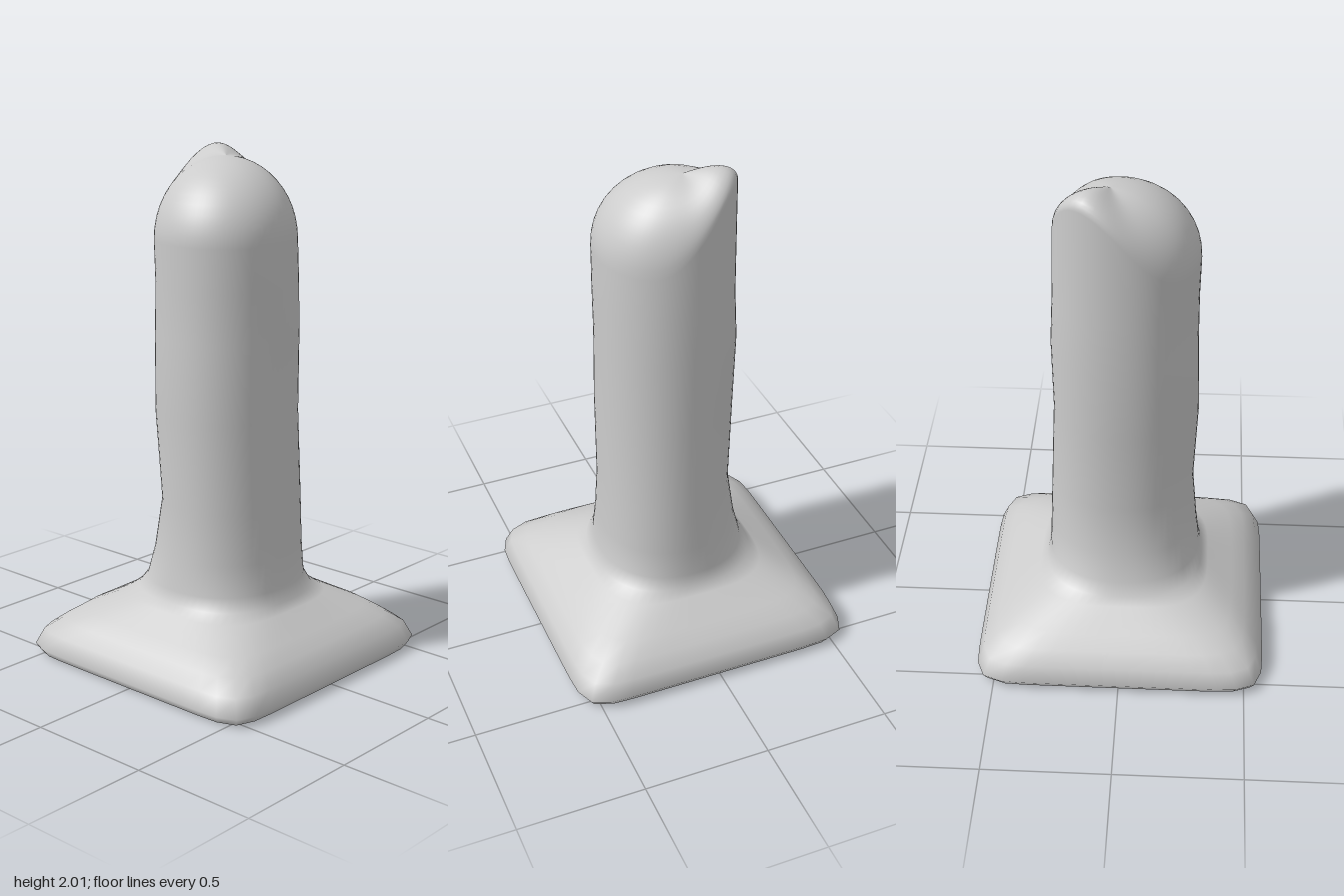
import * as THREE from 'three';

const SEG = 64;

// One closed outline point: ellipse at n = 2, rounded square for larger n
function outline(theta, cx, cz, rx, rz, n) {
  const c = Math.cos(theta), s = Math.sin(theta);
  const r = 1 / Math.pow(Math.abs(c) ** n + Math.abs(s) ** n, 1 / n);
  return [cx + rx * r * c, cz + rz * r * s];
}

// Skin a list of rings, each a function theta -> [x, y, z]
function loft(rings) {
  const pos = [], index = [];
  rings.forEach((ring, i) => {
    for (let j = 0; j < SEG; j++) {
      pos.push(...ring((j / SEG) * Math.PI * 2));
      if (i === rings.length - 1) continue;
      const a = i * SEG + j, b = i * SEG + (j + 1) % SEG;
      index.push(a, a + SEG, b, b, a + SEG, b + SEG);
    }
  });
  const geo = new THREE.BufferGeometry();
  geo.setAttribute('position', new THREE.Float32BufferAttribute(pos, 3));
  geo.setIndex(index);
  geo.computeVertexNormals();
  return geo;
}

export function createModel() {
  const group = new THREE.Group();
  const mat = new THREE.MeshStandardMaterial({ color: 0xcccccc });
  const add = (name, geo) => {
    const mesh = new THREE.Mesh(geo, mat);
    mesh.name = name;
    group.add(mesh);
  };

  // Square flared foot blending into the round column: [y, cx, cz, rx, rz, n]
  const sections = [
    [0.005, 0, 0, 0.555, 0.555, 12],
    [0.035, 0, 0, 0.575, 0.575, 11],
    [0.10, 0, 0, 0.55, 0.55, 10],
    [0.145, 0, 0, 0.50, 0.50, 8],
    [0.19, 0, 0, 0.445, 0.445, 6],
    [0.25, 0, 0, 0.345, 0.345, 3.4],
    [0.28, 0, 0, 0.318, 0.32, 2.6],
    [0.33, 0, 0.005, 0.305, 0.295, 2.25],
    [0.45, 0.005, 0.015, 0.296, 0.275, 2.15],
    [0.65, 0.01, 0.026, 0.284, 0.256, 2.1],
    [1.00, -0.005, 0.015, 0.284, 0.264, 2.1],
    [1.30, 0.002, 0.01, 0.282, 0.267, 2.1],
    [1.50, -0.002, 0.014, 0.277, 0.264, 2.1],
  ];
  const rings = sections.map(([y, ...shape]) => (t) => {
    const [x, z] = outline(t, ...shape);
    return [x, y, z];
  });

  // Lopsided dome: its rim climbs to a peak at the back left
  const peak = Math.atan2(-0.2, 0.15);
  const rim = (t) => 1.67 + 0.29 * Math.max(0, Math.cos(t - peak)) ** 2.5;
  const STEPS = 12;
  for (let k = 0; k <= STEPS; k++) {
    const a = (k / STEPS) * Math.PI / 2;
    const s = Math.max(Math.cos(a), 0.001), rise = Math.sin(a);
    rings.push((t) => {
      const [x, z] = outline(t, -0.008, 0.012, 0.275, 0.264, 2.1);
      const y = rim(t);
      const spike = 0.04 * Math.max(0, Math.cos(t - peak)) ** 8 * Math.sin(2 * a);
      return [0.05 + (x - 0.05) * s, y + (1.975 - y) * rise + spike, -0.04 + (z + 0.04) * s];
    });
  }
  add('post', loft(rings));

  // Flat underside
  const [y0, ...foot] = sections[0];
  add('underside', loft([
    () => [0, 0, 0],
    (t) => { const [x, z] = outline(t, ...foot); return [x, y0, z]; },
  ]).setIndex(Array.from({ length: SEG }, (_, j) => [0, SEG + j, SEG + (j + 1) % SEG]).flat()));
  const under = group.getObjectByName('underside').geometry;
  under.computeVertexNormals();

  return group;
}
